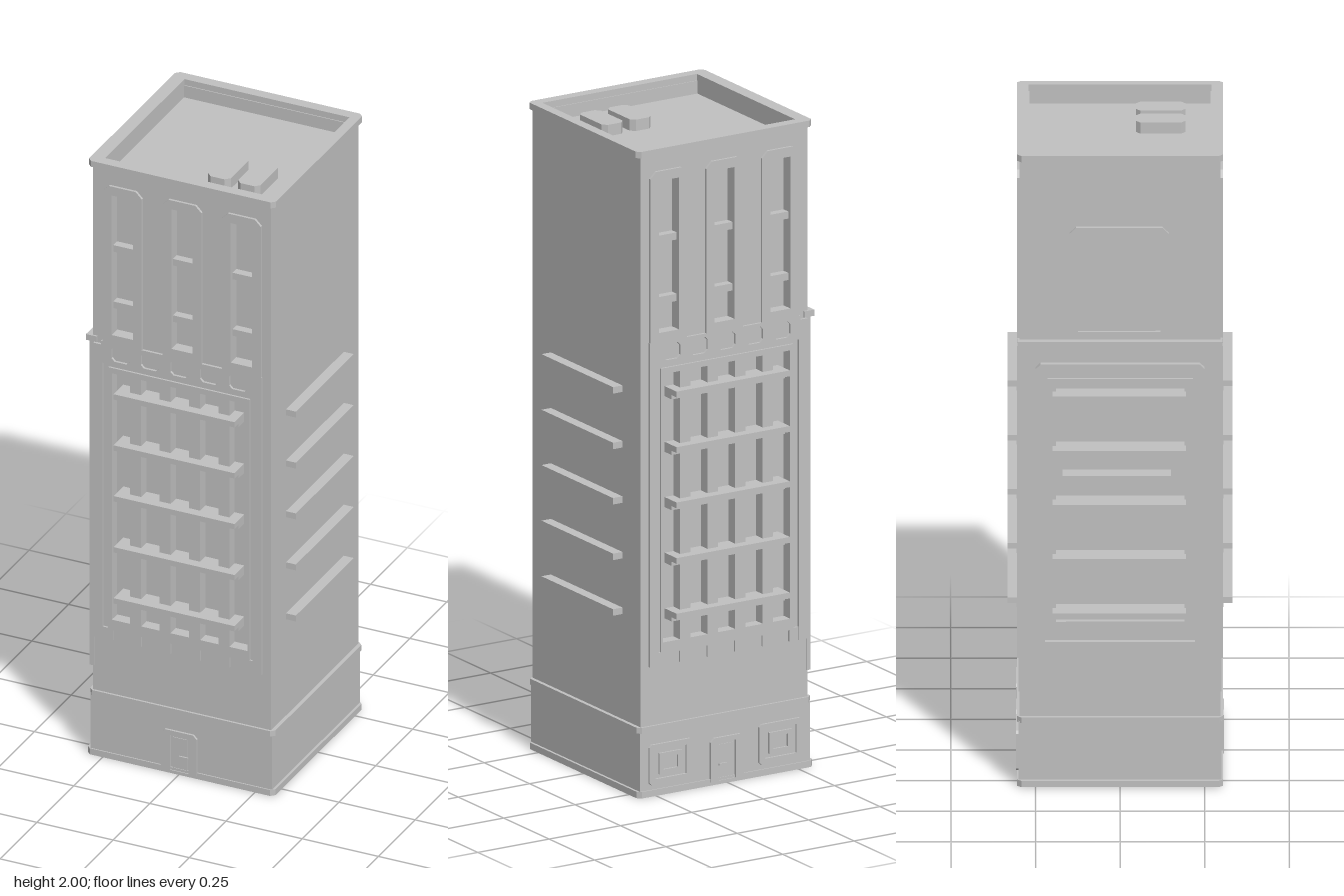
import * as THREE from 'three';

const stone = new THREE.MeshStandardMaterial({ color: 0xc0c0c0 });
stone.name = 'pale grey stone';

// Box from its minimum and maximum corners
function box(parent, name, [x0, y0, z0], [x1, y1, z1]) {
  const m = new THREE.Mesh(new THREE.BoxGeometry(x1 - x0, y1 - y0, z1 - z0), stone);
  m.position.set((x0 + x1) / 2, (y0 + y1) / 2, (z0 + z1) / 2);
  m.name = name;
  parent.add(m);
  return m;
}

// Rectangle whose top (and optionally bottom) corners are cut by c
function outline(Type, x0, y0, x1, y1, c = 0, cb = 0) {
  const pts = [[x0 + cb, y0], [x1 - cb, y0]];
  if (cb) pts.push([x1, y0 + cb]);
  if (c) pts.push([x1, y1 - c], [x1 - c, y1], [x0 + c, y1], [x0, y1 - c]);
  else pts.push([x1, y1], [x0, y1]);
  if (cb) pts.push([x0, y0 + cb]);
  return new Type(pts.map(p => new THREE.Vector2(...p)));
}
const rect = (...a) => outline(THREE.Shape, ...a);
const hole = (...a) => outline(THREE.Path, ...a);

// Flat plate with holes, from z0 to z1
function plate(parent, name, shape, holes, z0, z1) {
  shape.holes.push(...holes);
  const g = new THREE.ExtrudeGeometry(shape, { depth: z1 - z0, bevelEnabled: false });
  const m = new THREE.Mesh(g, stone);
  m.position.z = z0;
  m.name = name;
  parent.add(m);
  return m;
}

// Horizontal moulding with clipped corners, and an optional opening
function moulding(parent, name, y0, y1, x0, x1, z, holes = []) {
  const m = plate(parent, name, rect(x0, -z, x1, z, 0.012, 0.012), holes, 0, y1 - y0);
  m.rotation.x = -Math.PI / 2;
  m.position.set(0, y0, 0);
}

const barHeights = [0.553, 0.725, 0.897, 1.068, 1.24];
const columns = [-0.19, -0.094, 0.003, 0.1, 0.196];
const bays = [-0.185, 0.011, 0.206];

// Decorated wall used on the front and back; flip keeps it aligned when turned round
function facade(flip) {
  const g = new THREE.Group();
  g.name = flip ? 'backFacade' : 'frontFacade';
  const s = flip ? -1 : 1;
  const R = (fn, x0, y0, x1, y1, ...c) => s > 0 ? fn(x0, y0, x1, y1, ...c) : fn(-x1, y0, -x0, y1, ...c);
  const B = (name, a, b) => s > 0 ? box(g, name, a, b)
    : box(g, name, [-b[0], a[1], a[2]], [-a[0], b[1], b[2]]);

  // Wall with deep window slots
  const slots = () => columns.map(x => R(hole, x - 0.03, 0.47, x + 0.03, 1.3));
  const tall = () => bays.map(x => R(hole, x - 0.035, 1.43, x + 0.035, 1.9));
  plate(g, 'wall', R(rect, -0.285, 0.2, 0.3, 1.98), [...slots(), ...tall()], 0.267, 0.297);

  // Raised frames and sills of the upper windows
  bays.forEach(x => {
    plate(g, 'upperFrame', R(rect, x - 0.064, 1.4, x + 0.064, 1.93, 0.02),
      [R(hole, x - 0.035, 1.43, x + 0.035, 1.9)], 0.297, 0.305);
    for (const y of [1.515, 1.705]) B('windowSill', [x - 0.035, y, 0.267], [x + 0.035, y + 0.022, 0.293]);
  });

  // Pierced header, side strips, mullions and toothed lower edge
  plate(g, 'header', R(rect, -0.255, 1.33, 0.272, 1.402),
    columns.map(x => R(hole, x - 0.03, 1.342, x + 0.03, 1.392, 0.01, 0.01)), 0.297, 0.305);
  B('sideStrip', [-0.28, 0.4, 0.297], [-0.25, 1.39, 0.305]);
  B('sideStrip', [0.243, 0.4, 0.297], [0.272, 1.34, 0.305]);
  plate(g, 'mullions', R(rect, -0.232, 0.435, 0.232, 1.318), slots(), 0.297, 0.303);
  [-0.235, -0.142, -0.045, 0.052, 0.148, 0.232].forEach(x =>
    B('tooth', [x - 0.018, 0.4, 0.297], [x + 0.018, 0.44, 0.303]));

  // Horizontal sun bars
  barHeights.forEach(y => {
    B('sunBar', [-0.2, y - 0.009, 0.267], [0.197, y + 0.009, 0.333]);
    B('barSupport', [-0.2, y - 0.022, 0.267], [0.197, y - 0.009, 0.306]);
  });

  // Door
  plate(g, 'doorFrame', R(rect, -0.056, 0.01, 0.06, 0.145, 0.012), [R(hole, -0.027, 0.012, 0.034, 0.13)], 0.3, 0.307);
  B('door', [-0.02, 0.012, 0.3], [0.028, 0.122, 0.302]);
  B('doorHandle', [0.002, 0.058, 0.3], [0.03, 0.064, 0.307]);

  // Ground-floor windows at the back only
  if (flip) for (const x of [-0.185, 0.2]) {
    plate(g, 'lowWindowFrame', R(rect, x - 0.075, 0.035, x + 0.075, 0.16, 0.008, 0.008),
      [R(hole, x - 0.055, 0.053, x + 0.055, 0.142)], 0.3, 0.307);
    plate(g, 'lowWindow', R(rect, x - 0.04, 0.065, x + 0.04, 0.13),
      [R(hole, x - 0.025, 0.078, x + 0.025, 0.117)], 0.3, 0.306);
  }
  if (flip) g.rotation.y = Math.PI;
  return g;
}

// Panelled wall on the right-hand (-x) side
function panelledSide() {
  const g = new THREE.Group();
  g.name = 'panelledSide';
  plate(g, 'wall', rect(-0.267, 0.2, 0.267, 1.98), [hole(-0.205, 0.5, 0.205, 1.28)], 0.258, 0.285);
  plate(g, 'lowerFrame', rect(-0.25, 0.43, 0.25, 1.34, 0.015, 0.015),
    [hole(-0.222, 0.46, 0.222, 1.31)], 0.285, 0.304);
  plate(g, 'innerFrame', rect(-0.215, 0.49, 0.215, 1.29), [hole(-0.19, 0.52, 0.19, 1.26)], 0.26, 0.292);
  plate(g, 'upperFrame', rect(-0.15, 1.42, 0.145, 1.77, 0.02), [hole(-0.125, 1.44, 0.12, 1.745, 0.015)], 0.285, 0.294);
  box(g, 'upperPanel', [-0.11, 1.44, 0.285], [0.105, 1.73, 0.288]);
  for (const s of [-1, 1]) box(g, 'cornerStrip', [s * 0.285 - 0.015, 0.3, 0.28], [s * 0.285 + 0.015, 1.4, 0.294]);
  box(g, 'middleSill', [-0.17, 0.97, 0.258], [0.15, 0.99, 0.312]);
  box(g, 'waistLedge', [-0.303, 1.393, 0.27], [0.303, 1.412, 0.305]);
  barHeights.forEach(y => box(g, 'sunBar', [-0.2, y - 0.01, 0.258], [0.195, y + 0.01, 0.334]));
  g.rotation.y = -Math.PI / 2;
  return g;
}

export function createModel() {
  const tower = new THREE.Group();
  tower.name = 'tower';

  // Core, base and roof edge
  box(tower, 'core', [-0.258, 0.1, -0.267], [0.3, 1.94, 0.267]);
  box(tower, 'base', [-0.292, 0, -0.3], [0.304, 0.205, 0.3]);
  box(tower, 'parapet', [0.283, 1.94, -0.267], [0.3, 1.98, 0.267]);
  moulding(tower, 'plinth', 0, 0.02, -0.304, 0.312, 0.304);
  moulding(tower, 'baseBand', 0.2, 0.218, -0.296, 0.312, 0.304);
  moulding(tower, 'cornice', 1.98, 2, -0.3, 0.314, 0.304, [hole(-0.258, -0.27, 0.283, 0.27)]);

  // Walls
  tower.add(facade(false), facade(true), panelledSide());
  barHeights.forEach(y => box(tower, 'sunBar', [0.295, y - 0.01, -0.197], [0.333, y + 0.01, 0.197]));

  // Roof units with clipped corners
  for (const x of [0.037, 0.135]) {
    const unit = plate(tower, 'roofUnit', rect(x, -0.194, x + 0.074, -0.047, 0.014, 0.014), [], 0, 0.035);
    unit.rotation.x = -Math.PI / 2;
    unit.position.set(0, 1.94, 0);
  }
  return tower;
}
